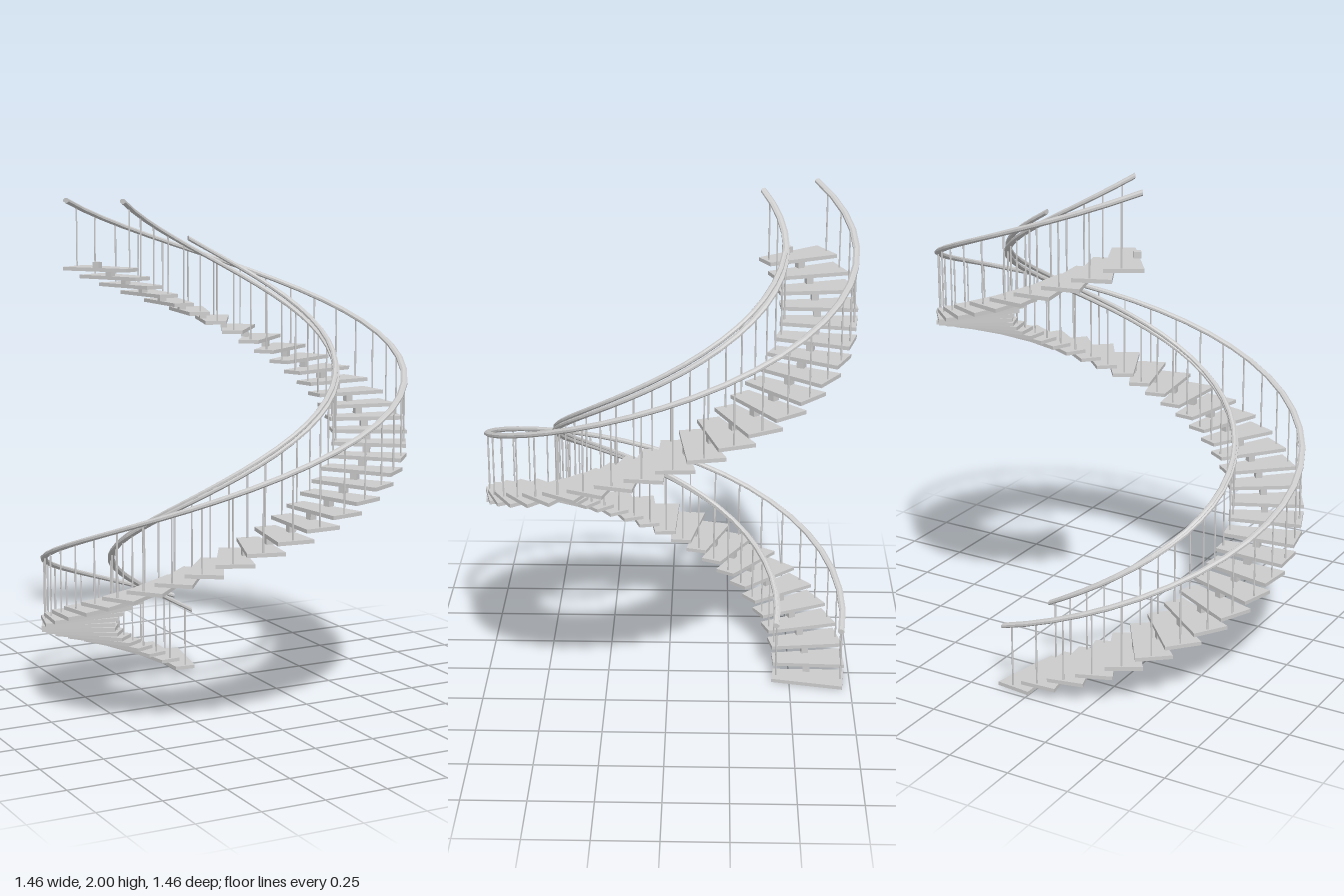
import * as THREE from 'three';

const STEPS = 45, PITCH = 9, RISE = 0.0388, THICK = 0.015;
const R_IN = 0.435, R_OUT = 0.73, RAIL_IN = 0.449, RAIL_OUT = 0.716;
const TREAD_ANGLE = 11.4, POST_ANGLE = 6.4;
const rad = THREE.MathUtils.degToRad;

const material = new THREE.MeshStandardMaterial({ color: 0xcccccc, flatShading: true, side: THREE.DoubleSide });

// Position at radius r, angle in degrees from the back (-z) towards +x
const polar = (r, deg, y) => new THREE.Vector3(r * Math.sin(rad(deg)), y, -r * Math.cos(rad(deg)));

// Height of the handrail centre above a given angle
const railY = (deg) => 0.299 - 0.00428 * deg;

function mesh(geometry, name, position) {
  const m = new THREE.Mesh(geometry, material);
  m.name = name;
  if (position) m.position.copy(position);
  return m;
}

// Helical handrail: an eight-sided section swept in straight segments
function railGeometry(r, from, to, yOf, segments, w = 0.013, h = 0.01) {
  const SIDES = 8, pos = [], idx = [];
  for (let i = 0; i <= segments; i++) {
    const deg = from + (to - from) * i / segments;
    for (let j = 0; j < SIDES; j++) {
      const a = (j + 0.5) / SIDES * Math.PI * 2, k = 1 / Math.cos(Math.PI / SIDES);
      const p = polar(r + Math.cos(a) * w * k, deg, yOf(deg) + Math.sin(a) * h * k);
      pos.push(p.x, p.y, p.z);
      if (i < segments) {
        const p0 = i * SIDES + j, p1 = i * SIDES + (j + 1) % SIDES;
        idx.push(p0, p1, p0 + SIDES, p1, p1 + SIDES, p0 + SIDES);
      }
    }
  }
  // End caps
  const last = segments * SIDES;
  for (let j = 1; j < SIDES - 1; j++) idx.push(0, j + 1, j, last, last + j, last + j + 1);
  const g = new THREE.BufferGeometry();
  g.setAttribute('position', new THREE.Float32BufferAttribute(pos, 3));
  g.setIndex(idx);
  g.computeVertexNormals();
  return g;
}

export function createModel() {
  const model = new THREE.Group();
  model.name = 'spiralStaircase';

  // Wedge tread, overlapping the next one slightly
  const corners = [[R_IN, 0], [R_OUT, 0], [R_OUT, TREAD_ANGLE], [R_IN, TREAD_ANGLE]];
  const shape = new THREE.Shape(corners.map(([r, d]) =>
    new THREE.Vector2(r * Math.sin(rad(d)), r * Math.cos(rad(d)))));
  const treadGeo = new THREE.ExtrudeGeometry(shape, { depth: THICK, bevelEnabled: false }).rotateX(-Math.PI / 2);

  // Spacer block hidden under the edge of the next tread
  const blockH = RISE - THICK;
  const blockGeo = new THREE.BoxGeometry(0.028, blockH, 0.028);

  for (let i = 0; i < STEPS; i++) {
    // Balusters reach from the tread to the centre of the handrail
    const postH = railY(POST_ANGLE - i * PITCH) - i * RISE - THICK;
    const postGeo = new THREE.CylinderGeometry(0.0035, 0.0035, postH, 6);
    const step = new THREE.Group();
    step.name = 'step';
    step.add(
      mesh(treadGeo, 'tread'),
      mesh(blockGeo, 'spacerBlock', polar(0.573, 0.9, THICK + blockH / 2)),
      mesh(postGeo, 'outerBaluster', polar(RAIL_OUT, POST_ANGLE, THICK + postH / 2)),
      mesh(postGeo, 'innerBaluster', polar(RAIL_IN, POST_ANGLE, THICK + postH / 2)),
    );
    step.position.y = i * RISE;
    step.rotation.y = rad(i * PITCH);
    model.add(step);
  }

  // Handrails
  const start = 9.9, end = -395.5;
  model.add(
    mesh(railGeometry(RAIL_OUT, start, end, railY, STEPS), 'outerHandrail'),
    mesh(railGeometry(RAIL_IN, start, end, railY, STEPS), 'innerHandrail'),
  );

  // Second inner rail, one turn long and slightly steeper
  const secondY = (deg) => railY(deg) + 0.032 * (start - deg) / 360;
  model.add(mesh(railGeometry(RAIL_IN - 0.003, start, -351.2, secondY, 40, 0.01, 0.01), 'innerSecondRail'));

  return model;
}
